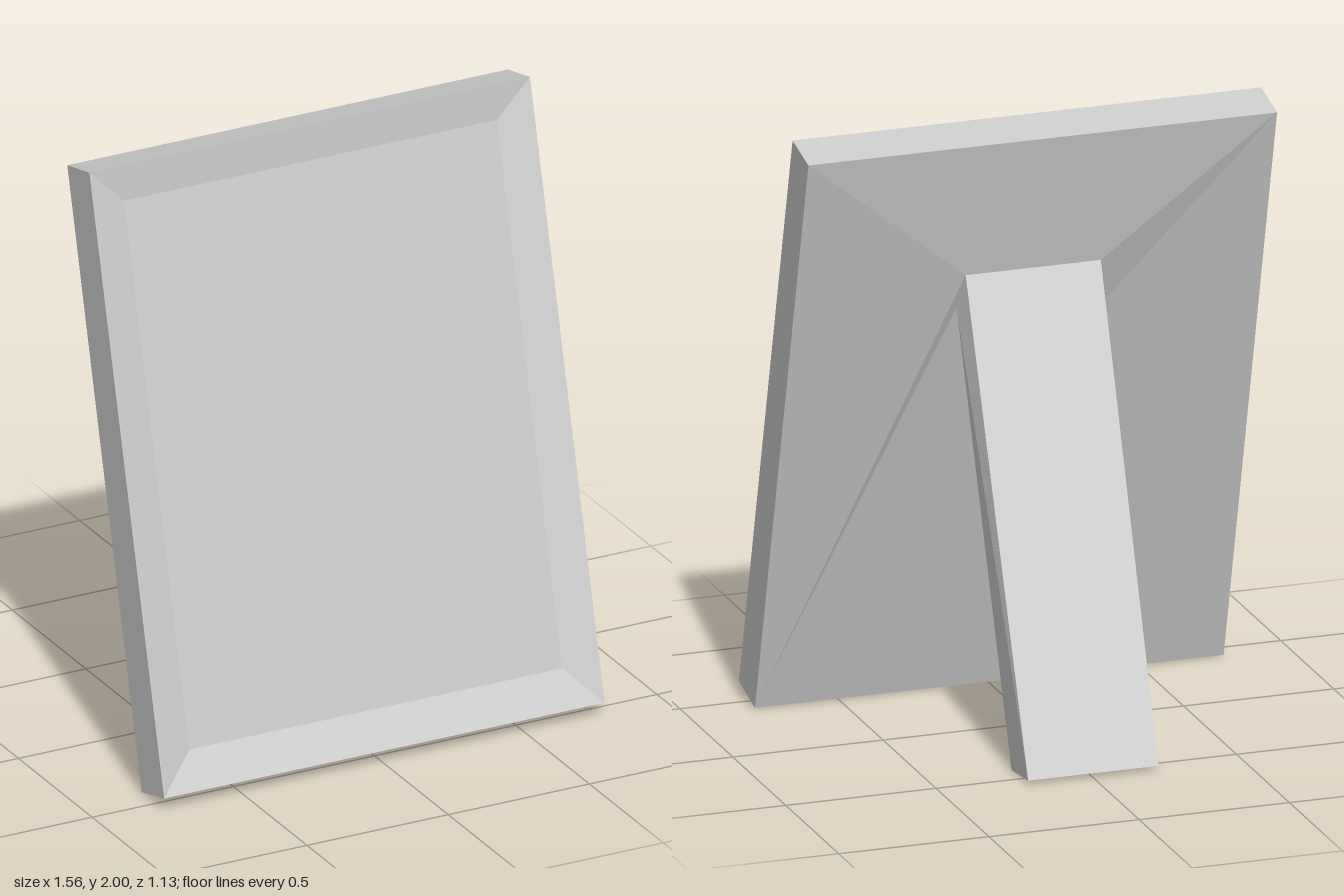
import * as THREE from 'three';

const material = new THREE.MeshStandardMaterial({ color: 0xcccccc, flatShading: true, side: THREE.DoubleSide });

// Four corners (right-top, left-top, left-bottom, right-bottom) of a loop mirrored in x: pairs are [half width, y, z]
const loop = ([tx, ty, tz], [bx, by, bz]) => [
  [tx, ty, tz], [-tx, ty, tz], [-bx, by, bz], [bx, by, bz],
].map((p) => new THREE.Vector3(...p));

// Skins consecutive four-cornered loops, with optional flat caps at the ends
function skin(name, loops, capStart, capEnd) {
  const pts = [];
  const quad = (a, b, c, d) => pts.push(a, b, c, a, c, d);
  for (let k = 0; k < loops.length - 1; k++) {
    const A = loops[k], B = loops[k + 1];
    for (let i = 0; i < 4; i++) {
      const j = (i + 1) % 4;
      quad(A[i], B[i], B[j], A[j]);
    }
  }
  if (capStart) quad(...loops[0]);
  if (capEnd) quad(...[...loops[loops.length - 1]].reverse());
  const geometry = new THREE.BufferGeometry().setFromPoints(pts);
  geometry.computeVertexNormals();
  const mesh = new THREE.Mesh(geometry, material);
  mesh.name = name;
  return mesh;
}

export function createModel() {
  const group = new THREE.Group();
  group.name = 'standingFrame';

  // Where the strut grows out of the back
  const joint = loop([0.225, 1.51, 0], [0.245, 1.37, 0.05]);
  joint[3].set(0.24, 1.39, 0.043);
  joint[2].set(-0.25, 1.35, 0.056);

  // Leaning panel: recessed front, bevelled rim, outer edge, back drawn towards the strut
  group.add(skin('framePanel', [
    loop([0.66, 1.88, 0.066], [0.66, 0.165, 0.508]),
    loop([0.78, 2, 0.06], [0.78, 0.045, 0.567]),
    loop([0.78, 1.965, -0.09], [0.78, 0.005, 0.415]),
    joint,
  ], true, false));

  // Rear strut running down to the ground
  group.add(skin('backStrut', [
    joint,
    loop([0.217, 0.015, -0.567], [0.217, 0, -0.41]),
  ], false, true));

  return group;
}
